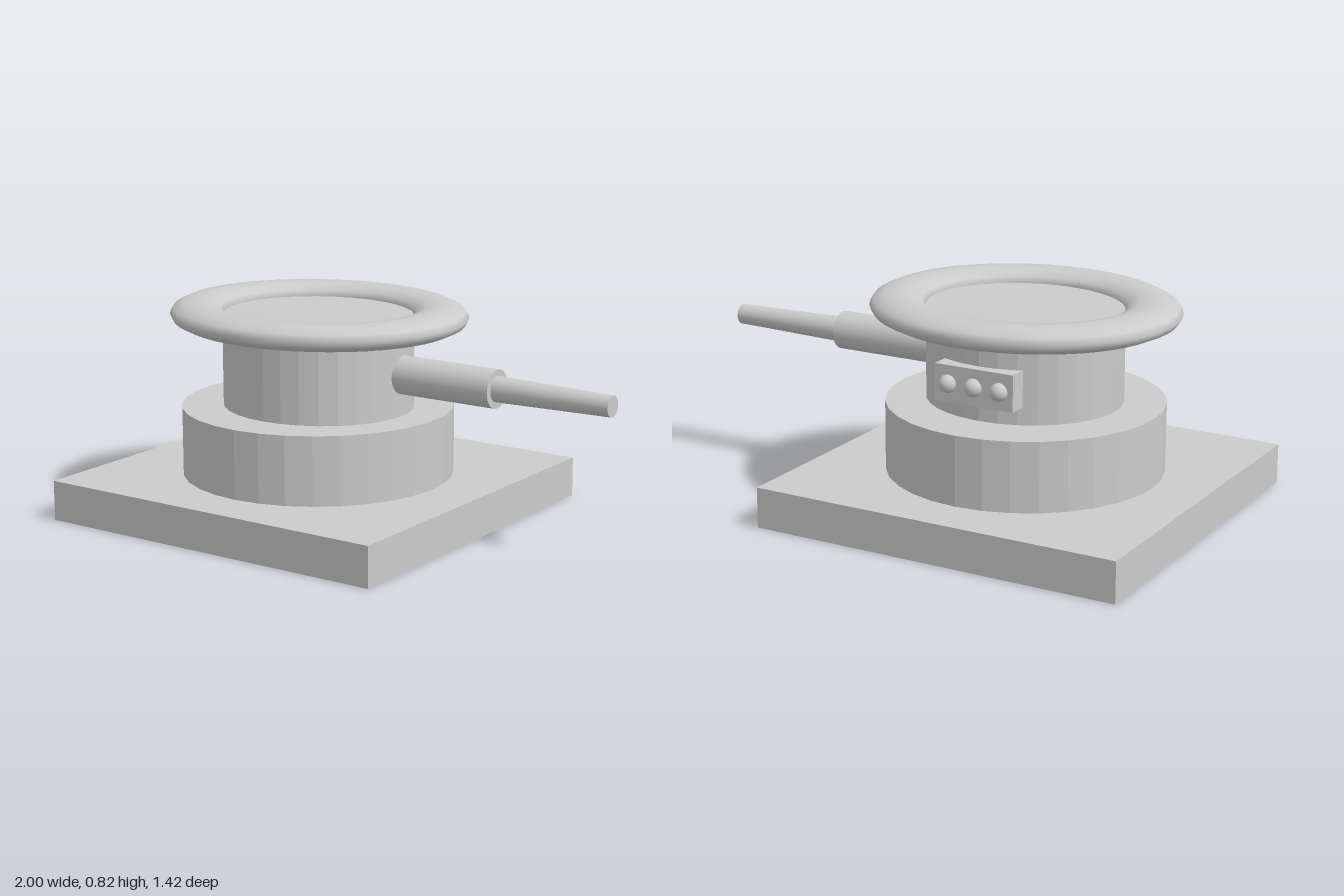
import * as THREE from 'three';

export function createModel() {
  const model = new THREE.Group();
  const smooth = new THREE.MeshStandardMaterial({ color: 0xcccccc });
  const faceted = new THREE.MeshStandardMaterial({ color: 0xcccccc, flatShading: true });

  const add = (name, geometry, material, x, y, z) => {
    const mesh = new THREE.Mesh(geometry, material);
    mesh.name = name;
    mesh.position.set(x, y, z);
    model.add(mesh);
    return mesh;
  };

  // Square plinth
  add('plinth', new THREE.BoxGeometry(1.455, 0.155, 1.42), faceted, -0.2725, 0.0775, 0);

  // Upright drum from y0 to y1 with an elliptical footprint
  const drum = (name, rx, rz, y0, y1, x, z) => {
    const geometry = new THREE.CylinderGeometry(1, 1, y1 - y0, 32).scale(rx, 1, rz);
    add(name, geometry, faceted, x, (y0 + y1) / 2, z);
  };
  drum('lowerDrum', 0.523, 0.523, 0.155, 0.42, -0.272, 0);
  drum('upperDrum', 0.375, 0.346, 0.42, 0.772, -0.26, 0.013);

  // Flattened oval rim around the top of the upper drum
  const rim = new THREE.TorusGeometry(0.43, 0.096, 12, 48).rotateX(Math.PI / 2).scale(1.122, 0.52, 1);
  add('rim', rim, smooth, -0.265, 0.77, 0.002);

  // Sideways barrel: thick sleeve and a tapered tip
  const barrel = (name, r0, r1, x0, x1) => {
    const geometry = new THREE.CylinderGeometry(r1, r0, x1 - x0, 32).rotateZ(-Math.PI / 2);
    add(name, geometry, smooth, (x0 + x1) / 2, 0.577, -0.013);
  };
  barrel('barrelSleeve', 0.073, 0.073, 0, 0.525);
  barrel('barrelTip', 0.049, 0.039, 0.5, 1);

  // Control box on the back with three round buttons
  add('controlBox', new THREE.BoxGeometry(0.32, 0.138, 0.15), faceted, -0.26, 0.555, -0.297);
  for (const side of [-1, 0, 1]) {
    add('button', new THREE.SphereGeometry(0.034, 16, 12), smooth, -0.26 + side * 0.105, 0.555, -0.375);
  }

  return model;
}
